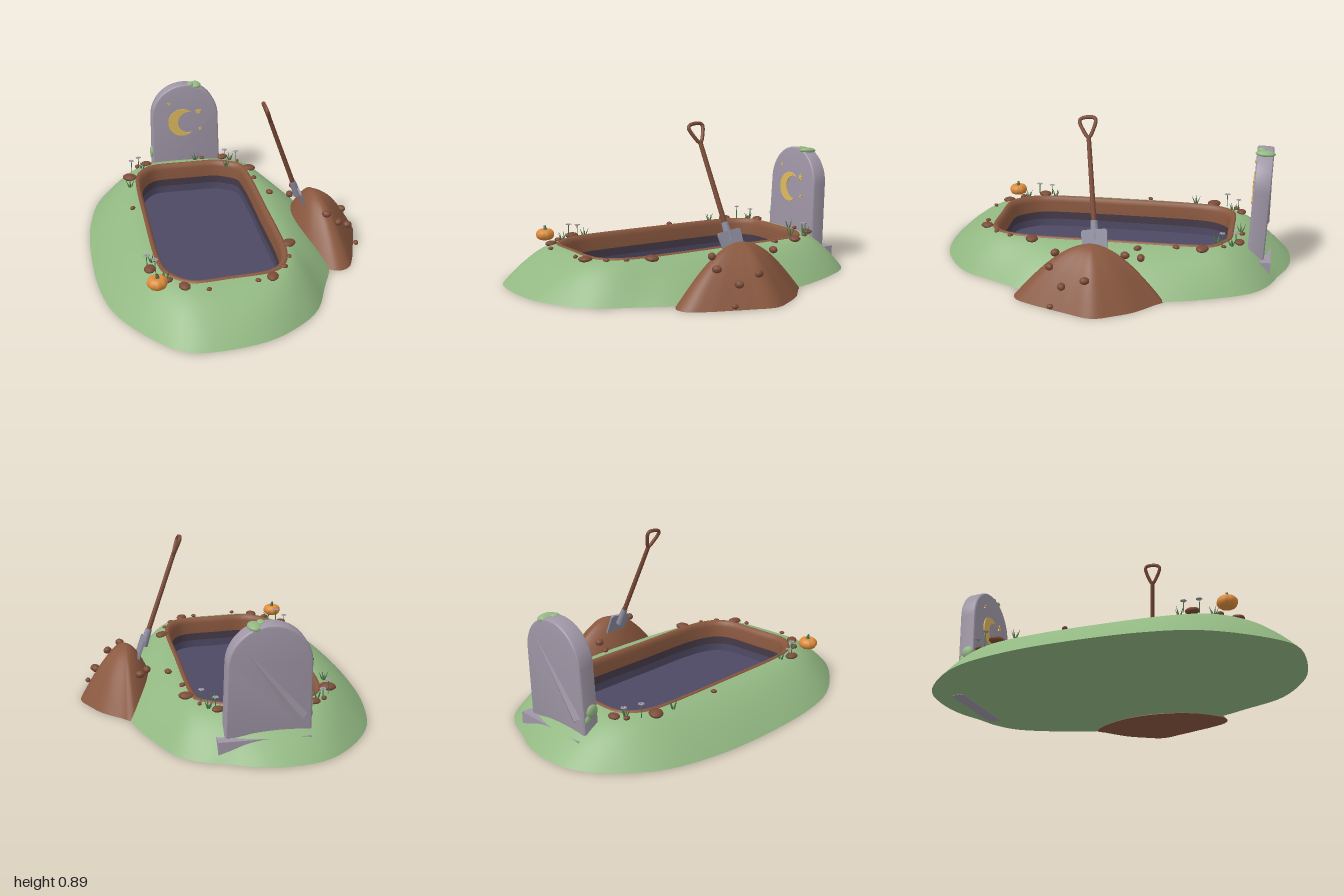
import * as THREE from 'three';
import { toCreasedNormals } from 'three/addons/utils/BufferGeometryUtils.js';

const mat = (name, color) => new THREE.MeshStandardMaterial({ name, color });
const M = {
  grass: mat('grass green', 0x92b882),
  dirt: mat('dirt brown', 0x8a583f),
  deep: mat('deep soil', 0x453a48),
  pit: mat('pit purple', 0x4e4964),
  stone: mat('stone grey', 0x9f96a6),
  gold: mat('gold', 0xdcb75c),
  wood: mat('clod and handle brown', 0x7b4b37),
  metal: mat('shovel metal', 0x8c8c9e),
  pumpkin: mat('pumpkin orange', 0xdc8c3c),
  leaf: mat('leaf green', 0x4c7548),
};

function add(parent, name, geo, material, x = 0, y = 0, z = 0) {
  const m = new THREE.Mesh(geo, material);
  m.name = name;
  m.position.set(x, y, z);
  parent.add(m);
  return m;
}

const N = 96;
// Evenly spaced points round a closed outline given as [x, z] pairs
function outline(pts) {
  const c = new THREE.CatmullRomCurve3(pts.map(([x, z]) => new THREE.Vector3(x, 0, z)), true);
  return c.getSpacedPoints(N).slice(0, N);
}

// Ring scaled about a centre and set at a height
const ring = (pts, cx, cz, sx, sz, y) =>
  pts.map(p => new THREE.Vector3(cx + (p.x - cx) * sx, y, cz + (p.z - cz) * sz));

// Skin between closed rings; faces up when rings run from outside to inside
function loft(rings) {
  const pos = [], idx = [];
  rings.forEach(r => r.forEach(p => pos.push(p.x, p.y, p.z)));
  for (let k = 0; k + 1 < rings.length; k++) {
    for (let i = 0; i < N; i++) {
      const j = (i + 1) % N, a = k * N + i, b = k * N + j, d = a + N, c = b + N;
      idx.push(a, d, b, d, c, b);
    }
  }
  const g = new THREE.BufferGeometry();
  g.setAttribute('position', new THREE.Float32BufferAttribute(pos, 3));
  g.setIndex(idx);
  g.computeVertexNormals();
  return g;
}

const HILL = [[-0.115, -1], [0.0, -0.975], [0.09, -0.935], [0.22, -0.89], [0.33, -0.81], [0.43, -0.63], [0.515, -0.39],
  [0.545, -0.2], [0.54, 0.1], [0.505, 0.38], [0.425, 0.56], [0.32, 0.77], [0.16, 0.9], [0, 0.97], [-0.29, 0.995],
  [-0.4, 0.965], [-0.55, 0.82], [-0.695, 0.59], [-0.755, 0.35], [-0.775, 0], [-0.755, -0.34], [-0.67, -0.66],
  [-0.51, -0.87], [-0.37, -0.97], [-0.25, -0.998]];
const HOLE = [[-0.115, -0.64], [0.06, -0.635], [0.1, -0.615], [0.175, -0.56], [0.19, -0.5], [0.2, 0], [0.19, 0.48],
  [0.14, 0.59], [0.08, 0.625], [-0.115, 0.64], [-0.28, 0.645], [-0.33, 0.62], [-0.4, 0.53], [-0.42, 0.45],
  [-0.43, 0], [-0.42, -0.48], [-0.395, -0.56], [-0.33, -0.63], [-0.28, -0.64]];
const HEAP = [[0.515, -0.36], [0.56, -0.32], [0.66, -0.23], [0.72, -0.14], [0.77, -0.03], [0.735, 0.1], [0.7, 0.2], [0.66, 0.31],
  [0.61, 0.4], [0.54, 0.42], [0.425, 0.32], [0.36, 0.19], [0.335, 0.02], [0.35, -0.1], [0.4, -0.23], [0.47, -0.33]];

function buildGround(g) {
  const out = outline(HILL), hole = outline(HOLE);
  const hr = (sx, sz, y) => ring(hole, -0.115, 0, sx, sz, y);
  const rim = hr(1.12, 1.065, 0.2);
  const rings = [];
  for (let k = 0; k <= 12; k++) {
    const u = k / 12, y = 0.003 + 0.197 * (1 - Math.pow(1 - u, 1.65));
    rings.push(out.map((p, i) => new THREE.Vector3().lerpVectors(p, rim[i], u).setY(y)));
  }
  add(g, 'grassMound', loft(rings), M.grass);
  add(g, 'moundUnderside', loft([ring(out, -0.115, 0, 0, 0, 0.003), ring(out, -0.115, 0, 1, 1, 0.003)]), M.grass);
  // Rounded soil lip, then the pit walls in bands
  add(g, 'soilRim', loft([hr(1.13, 1.07, 0.19), hr(1.12, 1.063, 0.204), hr(1.08, 1.045, 0.208),
    hr(1.04, 1.02, 0.198), hr(1.02, 1.008, 0.175), hr(1.01, 1.004, 0.11)]), M.dirt);
  add(g, 'pitWallMiddle', loft([hr(1.01, 1.004, 0.11), hr(1.005, 1.002, 0.065)]), M.deep);
  add(g, 'pitWallLower', loft([hr(1.005, 1.002, 0.065), hr(1, 1, 0.02)]), M.pit);
  add(g, 'pitFloor', loft([hr(1, 1, 0.02), hr(0, 0, 0.02)]), M.pit);
}

function clod(g, x, y, z, r, i, flat = 0.5) {
  const m = add(g, 'clod', new THREE.SphereGeometry(r, 10, 7), M.wood, x, y, z);
  m.scale.set(1, flat, 0.8);
  m.rotation.y = i * 1.3;
}

function buildHeap(g) {
  const out = outline(HEAP), cx = 0.51, cz = 0.02, rings = [];
  for (let k = 0; k <= 14; k++) {
    const u = 1 - k / 14;
    rings.push(ring(out, cx, cz, u, u, 0.29 * Math.cos(u * Math.PI / 2)));
  }
  add(g, 'dirtHeap', loft(rings), M.dirt);
  add(g, 'heapUnderside', loft([ring(out, cx, cz, 0, 0, 0), out]), M.dirt);
  [[0.455, 0.21, -0.23], [0.41, 0.2, -0.14], [0.53, 0.24, 0.205], [0.6, 0.19, 0.22], [0.68, 0.16, 0.02],
    [0.68, 0.12, 0.14], [0.72, 0.025, 0.19]].forEach(([x, y, z], i) => clod(g, x, y, z, i > 5 ? 0.018 : 0.026, i, 0.75));
}

function buildHeadstone(g) {
  const s = new THREE.Group();
  s.name = 'headstone';
  s.position.set(-0.105, 0.1, -0.808);
  s.rotation.x = -0.045;
  g.add(s);
  const sh = new THREE.Shape();
  sh.moveTo(-0.203, 0.012);
  sh.lineTo(0.203, 0.012);
  sh.lineTo(0.196, 0.37);
  sh.absellipse(0, 0.37, 0.196, 0.193, 0, Math.PI, false);
  sh.closePath();
  const slab = new THREE.ExtrudeGeometry(sh, { depth: 0.066, bevelSize: 0.013, bevelThickness: 0.013, bevelSegments: 3, curveSegments: 28 });
  add(s, 'slab', toCreasedNormals(slab, 0.5), M.stone, 0, 0, -0.033);
  // Diagonal ridge across the back
  const ridge = add(s, 'backRidge', new THREE.CylinderGeometry(0.006, 0.04, 0.46, 4).toNonIndexed(), M.stone, -0.02, 0.27, -0.044);
  ridge.geometry.computeVertexNormals();
  ridge.rotation.z = -0.66;
  ridge.scale.z = 0.45;
  // Crescent and stars on the face
  const moon = new THREE.Shape(), a = 0.87, cx = 0.042;
  const tx = 0.088 * Math.cos(a) - cx, ty = 0.088 * Math.sin(a), b = Math.atan2(ty, tx);
  moon.absarc(0, 0, 0.088, a, Math.PI * 2 - a, false);
  moon.absarc(cx, 0, Math.hypot(tx, ty), -b, b, true);
  const thin = { depth: 0.008, bevelEnabled: false, curveSegments: 24 };
  add(s, 'crescent', new THREE.ExtrudeGeometry(moon, thin), M.gold, -0.02, 0.332, 0.044);
  [[0.083, 0.4, 0.021], [0.094, 0.284, 0.012], [-0.1, 0.46, 0.011]].forEach(([x, y, r]) => {
    const st = new THREE.Shape();
    for (let i = 0; i < 10; i++) {
      const q = i * Math.PI / 5 + Math.PI / 2, k = i % 2 ? r * 0.5 : r;
      st[i ? 'lineTo' : 'moveTo'](Math.cos(q) * k, Math.sin(q) * k);
    }
    add(s, 'star', new THREE.ExtrudeGeometry(st, thin), M.gold, x, y, 0.044);
  });
  // Moss patches
  [[0.075, 0.56, 0, 0.035, 0.018, 0.055], [0.04, 0.572, 0.02, 0.02, 0.01, 0.025], [-0.213, 0.14, 0.01, 0.014, 0.035, 0.035],
    [-0.21, 0.1, -0.02, 0.012, 0.025, 0.02]].forEach(([x, y, z, sx, sy, sz]) =>
    add(s, 'moss', new THREE.SphereGeometry(1, 12, 8), M.grass, x, y, z).scale.set(sx, sy, sz));
  add(g, 'headstoneFooting', new THREE.BoxGeometry(0.46, 0.1, 0.07), M.stone, -0.08, 0.051, -0.855);
}

function buildShovel(g) {
  const s = new THREE.Group();
  s.name = 'shovel';
  s.position.set(0.39, 0.335, 0.025);
  s.quaternion.setFromUnitVectors(new THREE.Vector3(0, 1, 0), new THREE.Vector3(-0.2, 0.54, 0.073).normalize());
  g.add(s);
  add(s, 'shaft', new THREE.CylinderGeometry(0.012, 0.014, 0.5, 10), M.wood, 0, 0.235, 0);
  const loop = new THREE.CatmullRomCurve3([[0, 0.475, 0], [0, 0.52, 0.03], [0, 0.565, 0.043], [0, 0.578, 0.03],
    [0, 0.578, -0.03], [0, 0.565, -0.043], [0, 0.52, -0.03]].map(p => new THREE.Vector3(...p)), true);
  add(s, 'grip', new THREE.TubeGeometry(loop, 40, 0.01, 8, true), M.wood);
  add(s, 'socket', new THREE.CylinderGeometry(0.018, 0.024, 0.1, 10), M.metal, 0, -0.01, 0);
  const b = new THREE.Shape();
  b.moveTo(-0.055, 0.012);
  b.lineTo(0.055, 0.012);
  b.quadraticCurveTo(0.07, 0.01, 0.07, -0.01);
  b.lineTo(0.06, -0.13);
  b.quadraticCurveTo(0.04, -0.19, 0, -0.21);
  b.quadraticCurveTo(-0.04, -0.19, -0.06, -0.13);
  b.lineTo(-0.07, -0.01);
  b.quadraticCurveTo(-0.07, 0.01, -0.055, 0.012);
  const blade = new THREE.ExtrudeGeometry(b, { depth: 0.012, bevelEnabled: false });
  add(s, 'blade', blade, M.metal, 0.008, -0.02, 0).rotation.y = Math.PI / 2;
}

function buildPumpkin(g) {
  const geo = new THREE.SphereGeometry(0.052, 40, 16), p = geo.attributes.position;
  for (let i = 0; i < p.count; i++) {
    const x = p.getX(i), y = p.getY(i), z = p.getZ(i);
    const k = 0.95 + 0.07 * Math.abs(Math.cos(Math.atan2(z, x) * 4));
    const dip = 0.014 * Math.exp(-(x * x + z * z) / 0.0004);
    p.setXYZ(i, x * k, y * 0.72 - Math.sign(y) * dip, z * k);
  }
  geo.computeVertexNormals();
  add(g, 'pumpkin', geo, M.pumpkin, -0.483, 0.226, 0.68);
  add(g, 'pumpkinStem', new THREE.CylinderGeometry(0.006, 0.011, 0.03, 7), M.leaf, -0.483, 0.262, 0.68).rotation.z = 0.2;
}

function buildPlants(g) {
  // Tufts of grass blades
  [[-0.5, -0.43], [-0.4, -0.66], [0.12, -0.6], [-0.055, -0.72], [-0.43, 0.6], [-0.48, 0.44], [0.16, -0.68]].forEach(([x, z], t) => {
    for (let i = 0; i < 4; i++) {
      const q = i * 1.6 + t, blade = add(g, 'grassBlade', new THREE.ConeGeometry(0.005, 0.055, 5), M.leaf,
        x + Math.cos(q) * 0.016, 0.215, z + Math.sin(q) * 0.016);
      blade.rotation.set(Math.sin(q) * 0.4, 0, -Math.cos(q) * 0.4);
    }
  });
  // Thin flowers with flat heads
  [[-0.42, -0.69], [-0.47, -0.62], [0.13, -0.7], [0.19, -0.63], [-0.51, 0.47], [-0.475, 0.54]].forEach(([x, z], i) => {
    const h = 0.06 + 0.015 * (i % 2);
    add(g, 'flowerStem', new THREE.CylinderGeometry(0.0025, 0.0025, h, 5), M.leaf, x, 0.195 + h / 2, z);
    for (let k = 0; k < 5; k++) {
      const q = k * Math.PI * 0.4;
      add(g, 'petal', new THREE.SphereGeometry(0.008, 7, 5), M.stone,
        x + Math.cos(q) * 0.01, 0.196 + h, z + Math.sin(q) * 0.01).scale.y = 0.3;
    }
  });
}

export function createModel() {
  const g = new THREE.Group();
  g.name = 'openGrave';
  buildGround(g);
  buildHeap(g);
  buildHeadstone(g);
  buildShovel(g);
  buildPumpkin(g);
  buildPlants(g);
  // Clods scattered round the pit
  [[-0.37, -0.71, 0.034], [-0.43, -0.68, 0.018], [-0.49, -0.54, 0.046], [-0.515, -0.15, 0.017], [-0.01, -0.73, 0.017],
    [0.12, -0.72, 0.034], [0.2, -0.64, 0.014], [0.25, -0.53, 0.042], [0.25, -0.39, 0.021], [0.3, -0.19, 0.023],
    [0.26, 0.4, 0.042], [0.23, 0.53, 0.016], [0.18, 0.62, 0.02], [0.1, 0.7, 0.038], [0.02, 0.72, 0.016],
    [-0.235, 0.75, 0.015], [-0.35, 0.7, 0.036], [-0.42, 0.63, 0.022], [-0.5, 0.51, 0.038],
  ].forEach(([x, z, r], i) => clod(g, x, 0.2, z, r, i, r > 0.03 ? 0.42 : 0.6));
  return g;
}
